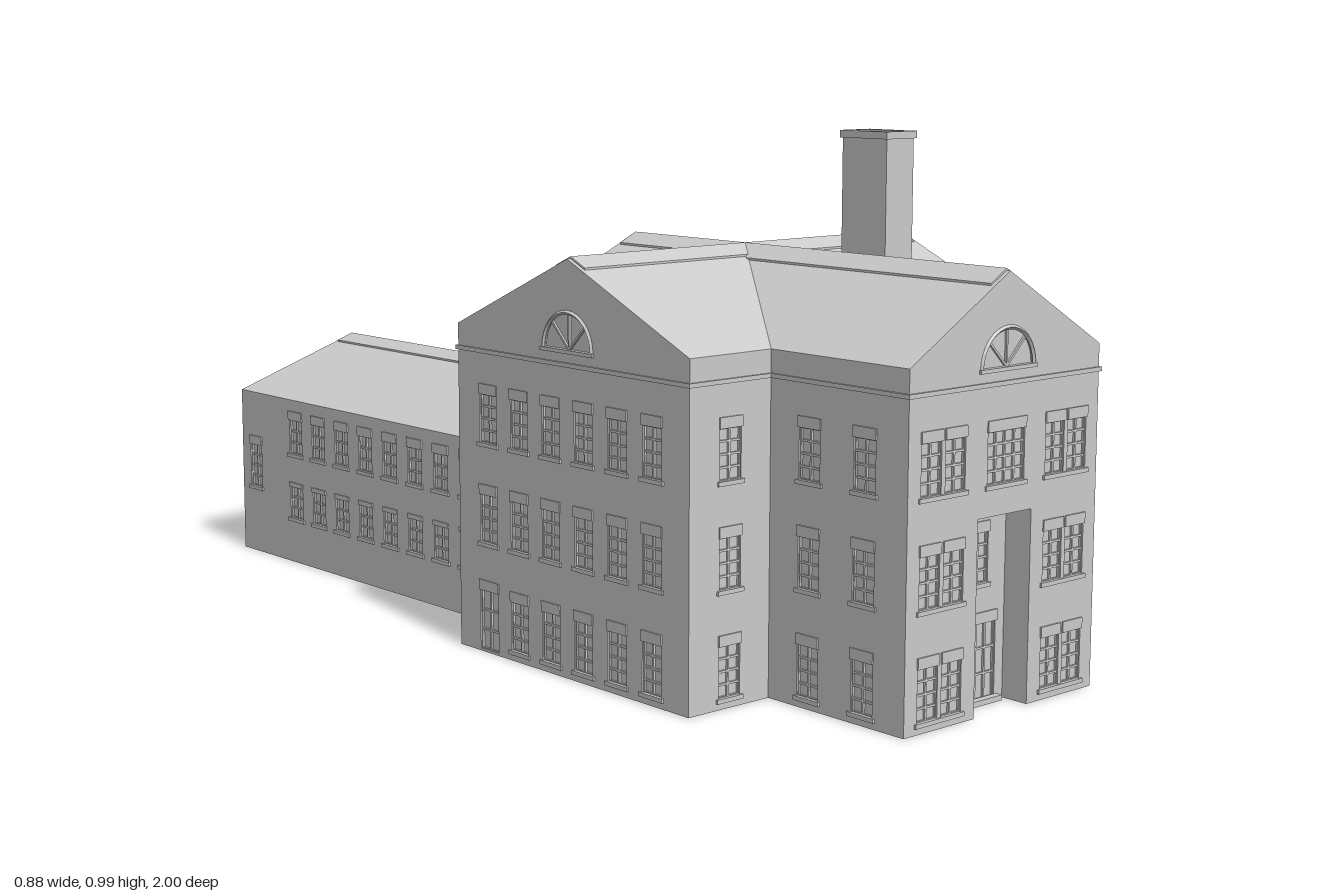
import * as THREE from 'three';
import { mergeGeometries } from 'three/addons/utils/BufferGeometryUtils.js';

const mat = new THREE.MeshStandardMaterial({ color: 0xcccccc, flatShading: true });
const T = 0.012; // wall thickness
const PANE = 0.007; // depth of the glass behind the wall face
const EAVE = 0.625, APEX = 0.77, WING_EAVE = 0.365, WING_APEX = 0.467;
const ROWS = [[0.02, 0.113], [0.213, 0.305], [0.405, 0.497]]; // three storeys

const polygon = (pts) => new THREE.Shape(pts.map(([x, y]) => new THREE.Vector2(x, y)));
const rect = (x0, x1, y0, y1) => [[x0, y0], [x1, y0], [x1, y1], [x0, y1]];
const gable = (h, eave, apex) => [[-h, 0], [h, 0], [h, eave], [0, apex], [-h, eave]];
const box = (w, h, d, x, y, z) => new THREE.BoxGeometry(w, h, d).translate(x, y, z);

function mesh(name, parts) {
  const geos = parts.map((g) => (g.index ? g.toNonIndexed() : g));
  const m = new THREE.Mesh(mergeGeometries(geos), mat);
  m.name = name;
  return m;
}

// opening descriptions: u = position along the wall
const win = (u, [y0, y1], w = 0.05, cols = 2, rows = 4) => ({ u, y0, y1, w, cols, rows });
const fan = (u) => ({ u, y0: 0.606, r: 0.068 });
const grid = (us, rows, ...rest) => us.flatMap((u) => rows.map((r) => win(u, r, ...rest)));
const spread = (n, from, step) => Array.from({ length: n }, (_, i) => from + i * step);

function openingPoints(o) {
  if (!o.r) return rect(o.u - o.w / 2, o.u + o.w / 2, o.y0, o.y1);
  return spread(17, 0, Math.PI / 16).map((a) => [o.u + o.r * Math.cos(a), o.y0 + o.r * Math.sin(a)]);
}

// glazing bars, lintel and sill of one opening
function trim(o) {
  const b = 0.004, zb = -0.005, parts = [];
  if (o.r) {
    for (let i = 1; i < 4; i++) {
      const bar = box(o.r, b, b, o.r / 2, 0, 0).rotateZ((i * Math.PI) / 4);
      parts.push(bar.translate(o.u, o.y0, zb));
    }
    parts.push(new THREE.TorusGeometry(o.r, 0.004, 4, 16, Math.PI).translate(o.u, o.y0, 0));
    parts.push(box(2 * o.r + 0.012, 0.007, 0.012, o.u, o.y0 - 0.003, -0.002));
    return parts;
  }
  const h = o.y1 - o.y0, yc = (o.y0 + o.y1) / 2;
  for (let i = 0; i <= o.cols; i++) {
    parts.push(box(b, h, b, o.u - o.w / 2 + (o.w * i) / o.cols, yc, zb));
  }
  for (let j = 0; j <= o.rows; j++) {
    parts.push(box(o.w, b, b, o.u, o.y0 + (h * j) / o.rows, zb));
  }
  const lintel = h > 0.07 ? 0.02 : 0.01;
  parts.push(box(o.w + 0.004, lintel, 0.012, o.u, o.y1 + lintel / 2, -0.003));
  if (o.y0 > 0.01) parts.push(box(o.w + 0.012, 0.008, 0.013, o.u, o.y0 - 0.004, -0.0025));
  return parts;
}

// wall in its own xy plane, facing +z, then turned and placed
function wall(name, outline, openings, x, z, turn = 0) {
  const shape = polygon(outline);
  const panes = openings.map((o) => polygon(openingPoints(o)));
  shape.holes = panes;
  const g = new THREE.Group();
  g.name = name;
  const body = new THREE.ExtrudeGeometry(shape, { depth: T, bevelEnabled: false });
  g.add(mesh('wallFace', [body.translate(0, 0, -T)]));
  if (openings.length) {
    g.add(mesh('windowPanes', panes.map((p) => new THREE.ShapeGeometry(p).translate(0, 0, -PANE))));
    g.add(mesh('windowTrim', openings.flatMap(trim)));
  }
  g.position.set(x, 0, z);
  g.rotation.y = turn;
  return g;
}

// gabled roof prism with a raised ridge cap, running from z0 to z1 before turning
function roof(name, half, eave, apex, z0, z1, turn = 0, z = 0) {
  const slope = (apex - eave) / half, c = 0.04, up = 0.004;
  const run = (pts) => new THREE.ExtrudeGeometry(polygon(pts), { depth: z1 - z0, bevelEnabled: false }).translate(0, 0, z0);
  const low = apex - c * slope;
  const m = mesh(name, [
    run([[-half, eave], [half, eave], [0, apex]]),
    run([[-c, low - 0.004], [0, apex - 0.004], [c, low - 0.004], [c, low + up], [0, apex + up], [-c, low + up]]),
  ]);
  m.rotation.y = turn;
  m.position.z = z;
  return m;
}

export function createModel() {
  const model = new THREE.Group();
  model.name = 'building';
  const Q = Math.PI / 2;
  const X = 0.438, ZF = 0.672, ZB = 0.02, ZM = 0.346, D = (ZF - ZB) / 2; // main block
  const FX = 0.247, FZ = 0.996; // front projection
  const WX = 0.297, WZ = -0.996; // rear wing
  const add = (...o) => model.add(...o);

  // floor following the whole footprint, with the entrance notch
  const half = [[0.07, 0.94], [0.07, FZ], [FX, FZ], [FX, ZF], [X, ZF], [X, ZB], [WX, ZB], [WX, WZ]];
  const foot = [...half, ...half.map(([x, z]) => [-x, z]).reverse()].map(([x, z]) => [x, -z]);
  const floor = new THREE.ExtrudeGeometry(polygon(foot), { depth: 0.004, bevelEnabled: false });
  add(mesh('floor', [floor.rotateX(-Q)]));

  // front projection
  const frontOutline = [[0.07, 0], [FX, 0], [FX, EAVE], [0, APEX], [-FX, EAVE], [-FX, 0], [-0.07, 0], [-0.07, 0.35], [0.07, 0.35]];
  add(wall('frontWall', frontOutline, [
    ...grid([-0.19, -0.13, 0.13, 0.19], ROWS), win(0, ROWS[2], 0.096, 4), fan(0),
  ], 0, FZ));
  const pd = FZ - ZF, pz = (FZ + ZF) / 2;
  for (const s of [1, -1]) {
    add(wall('projectionSideWall', rect(-pd / 2, pd / 2, 0, EAVE), grid([-0.064 * s, 0.066 * s], ROWS), s * FX, pz, s * Q));
  }

  // recessed entrance
  add(wall('entranceWall', rect(-0.085, 0.085, 0, 0.36), [
    win(0, [0.006, 0.145], 0.096, 4, 3), win(0, [0.217, 0.308], 0.048),
  ], 0, 0.94));
  const rz = (0.94 + FZ - 0.004) / 2, rd = FZ - 0.944;
  add(mesh('entranceRecess', [
    box(T, 0.36, rd, 0.076, 0.18, rz), box(T, 0.36, rd, -0.076, 0.18, rz),
    box(0.15, T, rd, 0, 0.356, rz),
  ]));
  add(mesh('entranceStep', [box(0.11, 0.01, 0.014, 0, 0.005, 0.946)]));

  // main block
  add(wall('mainFrontWall', rect(-X, X, 0, EAVE), grid([-0.342, 0.342], ROWS), 0, ZF));
  add(wall('mainBackWall', [[-X, 0], [X, 0], [X, EAVE], [0.3, EAVE], [0, APEX], [-0.3, EAVE], [-X, EAVE]], [
    ...grid([-0.37, 0.37], ROWS), ...grid([-0.115, 0, 0.115], [ROWS[2]]), fan(0),
  ], 0, ZB, Math.PI));
  const cols = spread(6, -0.235, 0.093);
  const side = gable(D, EAVE, APEX);
  add(wall('mainLeftWall', side, [
    ...grid(cols, [ROWS[2]]), ...grid(cols.slice(0, 5), [ROWS[1]]),
    win(0.235, [0.16, 0.305], 0.08, 3, 5), ...grid(cols.slice(0, 5), [[0.095, 0.14]], 0.045, 2, 1), fan(0),
  ], X, ZM, Q));
  add(wall('mainRightWall', side, [
    ...grid(cols, ROWS.slice(1)), ...grid(cols.slice(1), [ROWS[0]]),
    win(cols[0], [0.005, 0.12], 0.055, 2, 3), fan(0),
  ], -X, ZM, -Q));

  // string course around the main block and projection
  add(mesh('stringCourse', [
    box(2 * X + 0.008, 0.008, 2 * D + 0.008, 0, 0.579, ZM),
    box(2 * FX + 0.008, 0.008, FZ - ZM + 0.004, 0, 0.579, (FZ + ZM + 0.004) / 2),
  ]));

  // crossing roofs
  add(roof('mainRoof', D, EAVE, APEX, -X + 0.008, X - 0.008, Q, ZM));
  add(roof('frontRoof', FX, EAVE, APEX, ZM, FZ - 0.008));
  add(roof('rearRoof', 0.3, EAVE, APEX, ZB + 0.008, ZM));

  // rear wing
  const wl = (ZB - WZ) / 2, wz = (ZB + WZ) / 2;
  const wingRows = [[0.1, 0.17], [0.245, 0.32]];
  for (const s of [1, -1]) {
    const us = spread(9, -0.433, 0.09).map((u) => u * s);
    add(wall('wingSideWall', rect(-wl, wl, 0, WING_EAVE), [
      ...grid(us, wingRows, 0.048, 2, 3), win(0.452 * s, [0.15, 0.245], 0.045),
    ], s * WX, wz, s * Q));
  }
  add(wall('wingEndWall', gable(WX, WING_EAVE, WING_APEX), [
    ...grid([-0.233, -0.115, 0, 0.115, 0.22], [[0.23, 0.315]], 0.045, 2, 3),
    win(-0.233, [0.07, 0.135], 0.045, 2, 2), ...grid([0.122, 0.225], [[0.115, 0.15]], 0.045, 2, 1),
  ], 0, WZ, Math.PI));
  add(roof('wingRoof', WX, WING_EAVE, WING_APEX, WZ + 0.008, ZB));

  // chimney with a shallow open top
  const cx = 0.2075, cz = 0.492, w = 0.074, d = 0.114;
  const lip = polygon(rect(-w / 2 - 0.004, w / 2 + 0.004, -d / 2 - 0.004, d / 2 + 0.004));
  lip.holes.push(polygon(rect(-w / 2 + 0.012, w / 2 - 0.012, -d / 2 + 0.012, d / 2 - 0.012)));
  const rim = new THREE.ExtrudeGeometry(lip, { depth: 0.014, bevelEnabled: false });
  add(mesh('chimney', [
    box(w, 0.337, d, cx, 0.8065, cz),
    rim.rotateX(-Q).translate(cx, 0.971, cz),
  ]));
  return model;
}
